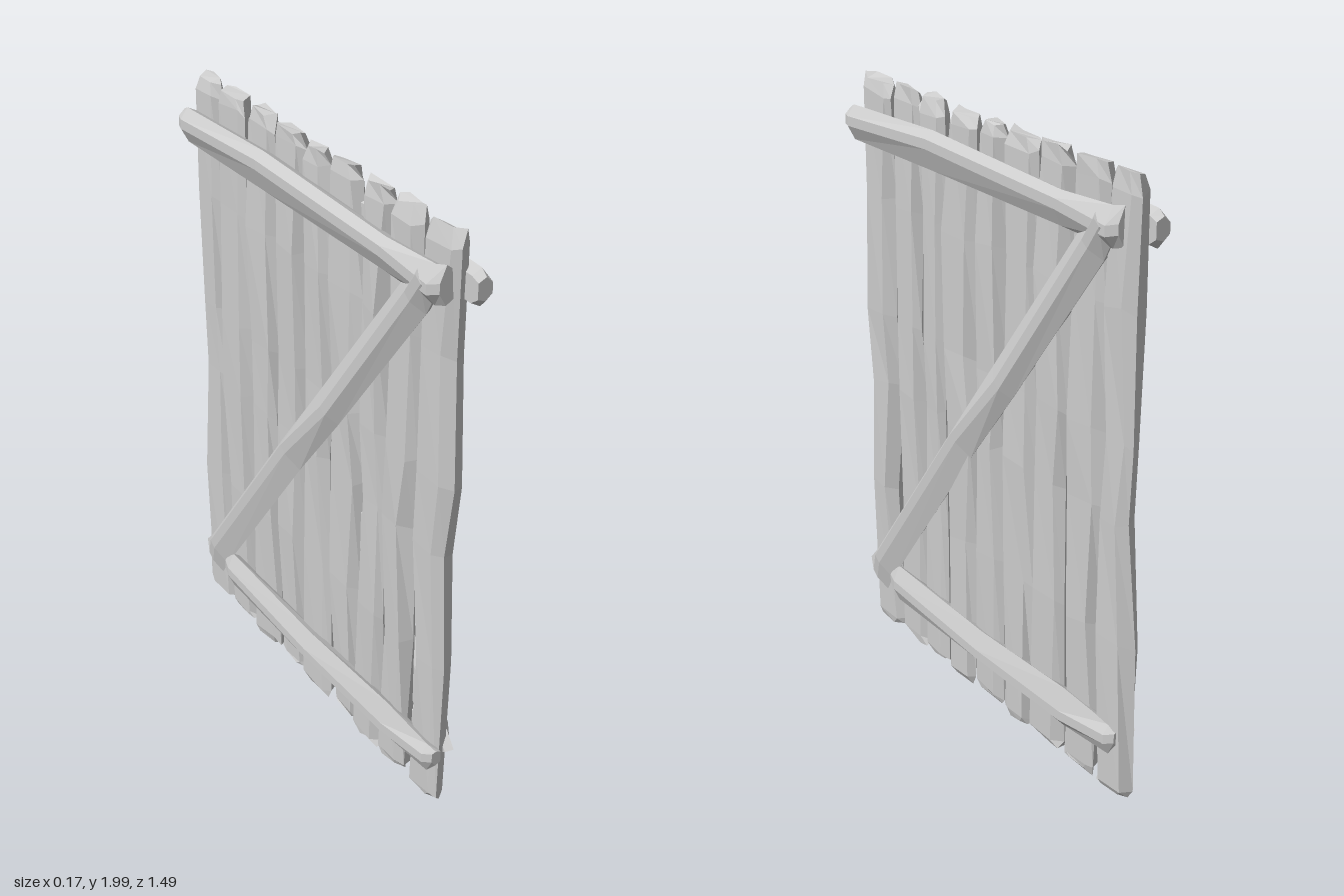
import * as THREE from 'three';

const material = new THREE.MeshStandardMaterial({ color: 0xcccccc, flatShading: true });

// Small seeded generator for the hand-hewn unevenness
let seed = 7;
function jitter(amount) {
  seed = (seed * 16807) % 2147483647;
  return (seed / 2147483647 * 2 - 1) * amount;
}

// Closed faceted solid through a row of equal-sized rings of points
function loft(name, rings) {
  const n = rings[0].length;
  const tris = [];
  for (let r = 0; r < rings.length - 1; r++) {
    for (let i = 0; i < n; i++) {
      const j = (i + 1) % n;
      const [a, b, c, d] = [rings[r][i], rings[r][j], rings[r + 1][j], rings[r + 1][i]];
      tris.push([a, b, c], [a, c, d]);
    }
  }
  const last = rings[rings.length - 1];
  for (let i = 1; i < n - 1; i++) {
    tris.push([rings[0][0], rings[0][i + 1], rings[0][i]], [last[0], last[i], last[i + 1]]);
  }
  // Signed volume tells whether the faces point outward
  const cross = new THREE.Vector3();
  const volume = tris.reduce((sum, [a, b, c]) => sum + a.dot(cross.crossVectors(b, c)), 0);
  if (volume < 0) tris.forEach((t) => t.reverse());
  const geometry = new THREE.BufferGeometry().setFromPoints(tris.flat());
  geometry.computeVertexNormals();
  const mesh = new THREE.Mesh(geometry, material);
  mesh.name = name;
  return mesh;
}

// Upright planks: z of both edges at each height
const heights = [0.04, 0.55, 0.95, 1.2, 1.6, 1.94];
const plankEdges = [
  [[0.69, 0.69, 0.67, 0.70, 0.68, 0.70], [0.53, 0.57, 0.535, 0.545, 0.545, 0.535]],
  [[0.515, 0.515, 0.50, 0.52, 0.52, 0.52], [0.37, 0.375, 0.365, 0.375, 0.38, 0.37]],
  [[0.37, 0.375, 0.37, 0.365, 0.355, 0.375], [0.23, 0.23, 0.245, 0.235, 0.235, 0.23]],
  [[0.215, 0.205, 0.215, 0.21, 0.215, 0.185], [0.07, 0.06, 0.04, 0.065, 0.055, 0.035]],
  [[0.07, 0.065, 0.05, 0.065, 0.055, 0.04], [-0.09, -0.09, -0.075, -0.085, -0.08, -0.085]],
  [[-0.11, -0.11, -0.10, -0.095, -0.105, -0.095], [-0.245, -0.26, -0.26, -0.255, -0.255, -0.265]],
  [[-0.25, -0.255, -0.26, -0.255, -0.255, -0.26], [-0.41, -0.41, -0.40, -0.415, -0.41, -0.41]],
  [[-0.435, -0.43, -0.425, -0.425, -0.43, -0.425], [-0.58, -0.57, -0.595, -0.585, -0.585, -0.585]],
  [[-0.59, -0.59, -0.585, -0.60, -0.585, -0.59], [-0.745, -0.735, -0.71, -0.725, -0.72, -0.73]],
];

function plank([left, right], index) {
  const lean = jitter(0.008);
  const ring = (k, y, inset, thick) => {
    const z0 = left[k] - inset;
    const z1 = right[k] + inset;
    const x = 0.006 + lean;
    const skew = jitter(0.012);
    const lift = () => y + jitter(0.012);
    return [
      new THREE.Vector3(x + thick + jitter(0.006), lift(), z0 - 0.02 + skew),
      new THREE.Vector3(x + jitter(0.016), lift(), z0),
      new THREE.Vector3(x - thick + jitter(0.006), lift(), z0 - 0.03 - skew),
      new THREE.Vector3(x - thick + jitter(0.006), lift(), z1 + 0.02 - skew),
      new THREE.Vector3(x + jitter(0.016), lift(), z1),
      new THREE.Vector3(x + thick + jitter(0.006), lift(), z1 + 0.03 + skew),
    ];
  };
  const top = heights.length - 1;
  // Chamfered ends close each plank
  return loft(`plank${index + 1}`, [
    ring(0, 0.022, 0.012, 0.018),
    ...heights.map((y, k) => ring(k, y, 0, k === 0 || k === top ? 0.024 : 0.03)),
    ring(top, 1.985, 0.014, 0.018),
  ]);
}

// Ridged beam on the +x face; stations are [z, y, lower, ridge, upper, outer x],
// with the offsets measured along the direction "across"
function beam(name, stations, across, inner) {
  return loft(name, stations.map(([z, y, lower, ridge, upper, outer]) => {
    const point = (x, s) => new THREE.Vector3(x, y + s * across.y, z + s * across.x);
    const mid = inner + (outer - inner) * 0.55;
    return [
      point(inner, lower * 0.7), point(mid, lower), point(outer, ridge - 0.012),
      point(outer, ridge + 0.02), point(mid, upper), point(inner, upper * 0.7),
    ];
  }));
}

// Two rails and a brace, making up the framing of one face
function framing(name) {
  const group = new THREE.Group();
  group.name = name;
  const up = new THREE.Vector2(0, 1);
  const slant = new THREE.Vector2(1.65, 1.26).normalize();
  group.add(
    beam('topRail', [
      [0.74, 1.83, -0.03, 0, 0.04, 0.06],
      [0.71, 1.83, -0.06, 0, 0.055, 0.07],
      [0.24, 1.835, -0.06, 0.025, 0.068, 0.078],
      [-0.4, 1.825, -0.055, 0.01, 0.05, 0.07],
      [-0.64, 1.83, -0.06, -0.01, 0.062, 0.08],
      [-0.675, 1.83, -0.05, 0, 0.07, 0.06],
    ], up, 0.012),
    beam('bottomRail', [
      [0.55, 0.215, -0.05, 0, 0.045, 0.05],
      [0.51, 0.215, -0.065, -0.005, 0.07, 0.062],
      [0, 0.215, -0.05, -0.03, 0.052, 0.066],
      [-0.45, 0.215, -0.07, -0.03, 0.065, 0.064],
      [-0.67, 0.215, -0.055, 0, 0.05, 0.06],
      [-0.705, 0.23, -0.03, 0, 0.025, 0.045],
    ], up, 0.012),
    beam('brace', [
      [0.65, 0.19, -0.065, 0, 0.07, 0.05],
      [0.6, 0.255, -0.062, 0.02, 0.06, 0.062],
      [0.1, 0.91, -0.055, 0.025, 0.065, 0.066],
      [-0.12, 1.2, -0.065, -0.01, 0.06, 0.073],
      [-0.55, 1.76, -0.062, 0, 0.062, 0.075],
      [-0.61, 1.84, -0.05, 0, 0.05, 0.083],
    ], slant, 0.012),
  );
  return group;
}

export function createModel() {
  const model = new THREE.Group();
  model.name = 'plankDoor';

  const planks = new THREE.Group();
  planks.name = 'planks';
  plankEdges.forEach((edges, i) => planks.add(plank(edges, i)));

  // The far face repeats the framing, turned half way round
  const nearFraming = framing('leftFraming');
  const farFraming = framing('rightFraming');
  farFraming.rotation.y = Math.PI;
  farFraming.position.x = -0.005;

  model.add(planks, nearFraming, farFraming);
  return model;
}
